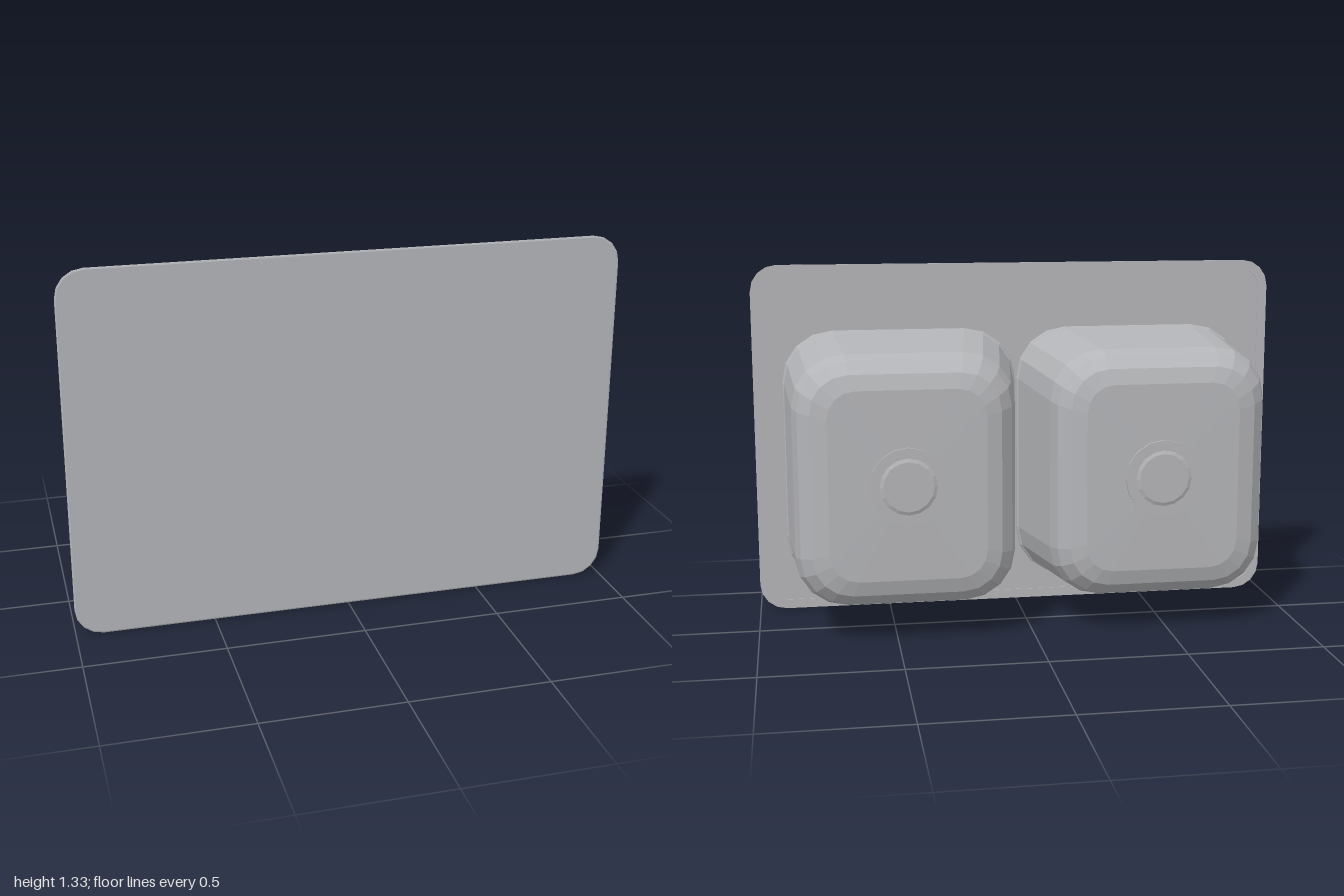
import * as THREE from 'three';

const steel = new THREE.MeshStandardMaterial({ color: 0xb4b5b8, flatShading: true });
steel.name = 'brushed steel';

// Counter-clockwise rounded rectangle outline
function roundedLoop(x0, x1, y0, y1, r, steps) {
  const pts = [];
  const corners = [[x1 - r, y0 + r, -90], [x1 - r, y1 - r, 0], [x0 + r, y1 - r, 90], [x0 + r, y0 + r, 180]];
  for (const [cx, cy, start] of corners) {
    for (let i = 0; i <= steps; i++) {
      const a = THREE.MathUtils.degToRad(start + (90 * i) / steps);
      pts.push(new THREE.Vector2(cx + r * Math.cos(a), cy + r * Math.sin(a)));
    }
  }
  return pts;
}

function add(group, geometry, name) {
  const mesh = new THREE.Mesh(geometry, steel);
  mesh.name = name;
  group.add(mesh);
  return mesh;
}

// Skin of stacked cross-sections running towards -z, closed at the far end
function loft(sections) {
  const pos = [];
  const index = [];
  const loops = sections.map(([x0, x1, y0, y1, r, z]) =>
    roundedLoop(x0, x1, y0, y1, r, 4).map((p) => [p.x, p.y, z]));
  const n = loops[0].length;
  loops.forEach((loop) => loop.forEach((p) => pos.push(...p)));
  for (let s = 0; s < loops.length - 1; s++) {
    for (let i = 0; i < n; i++) {
      const a = s * n + i;
      const b = s * n + ((i + 1) % n);
      index.push(a, b + n, b, a, a + n, b + n);
    }
  }
  const [x0, x1, y0, y1, , z] = sections[sections.length - 1];
  pos.push((x0 + x1) / 2, (y0 + y1) / 2, z - 0.006);
  const last = (loops.length - 1) * n;
  for (let i = 0; i < n; i++) index.push(loops.length * n, last + ((i + 1) % n), last + i);
  const g = new THREE.BufferGeometry();
  g.setAttribute('position', new THREE.Float32BufferAttribute(pos, 3));
  g.setIndex(index);
  const flat = g.toNonIndexed();
  flat.computeVertexNormals();
  return flat;
}

export function createModel() {
  const model = new THREE.Group();
  model.name = 'doubleSink';

  // Top plate with a slightly bevelled front edge
  const plate = new THREE.ExtrudeGeometry(
    new THREE.Shape(roundedLoop(-0.995, 0.995, 0.005, 1.325, 0.095, 4)),
    { depth: 0.002, bevelEnabled: true, bevelSize: 0.005, bevelThickness: 0.002, bevelSegments: 1 });
  plate.translate(0, 0, 0.273);
  add(model, plate, 'topPlate');

  // Folded lip around the back of the plate
  const lipShape = new THREE.Shape(roundedLoop(-1, 1, 0, 1.33, 0.1, 4));
  lipShape.holes.push(new THREE.Path(roundedLoop(-0.965, 0.965, 0.035, 1.295, 0.07, 4).reverse()));
  const lip = new THREE.ExtrudeGeometry(lipShape, { depth: 0.005, bevelEnabled: false });
  lip.translate(0, 0, 0.268);
  add(model, lip, 'plateLip');

  for (const side of [-1, 1]) {
    const bowl = new THREE.Group();
    bowl.name = side > 0 ? 'leftBowl' : 'rightBowl';
    // Edge positions mirror across x = 0
    const section = (inner, outer, y0, y1, r, z) =>
      [side > 0 ? inner : -outer, side > 0 ? outer : -inner, y0, y1, r, z];

    // Tapered walls, rounded shoulder and floor
    add(bowl, loft([
      section(0.002, 0.893, 0.095, 1.082, 0.195, 0.274),
      section(0.004, 0.89, 0.097, 1.08, 0.195, 0.26),
      section(0.01, 0.885, 0.103, 1.073, 0.19, 0.255),
      section(0.065, 0.86, 0.13, 1.045, 0.185, -0.147),
      section(0.083, 0.842, 0.148, 1.027, 0.175, -0.2),
      section(0.125, 0.8, 0.19, 0.985, 0.14, -0.243),
      section(0.18, 0.74, 0.245, 0.93, 0.1, -0.26),
    ]), 'bowlShell');

    // Drain: wide flange and raised centre
    const flange = add(bowl, new THREE.CylinderGeometry(0.14, 0.14, 0.012, 16), 'drainFlange');
    flange.rotation.x = Math.PI / 2;
    flange.position.set(side * 0.46, 0.588, -0.267);
    const cap = add(bowl, new THREE.CylinderGeometry(0.11, 0.09, 0.008, 16), 'drainCap');
    cap.rotation.x = Math.PI / 2;
    cap.position.set(side * 0.46, 0.588, -0.274);
    model.add(bowl);
  }
  return model;
}
